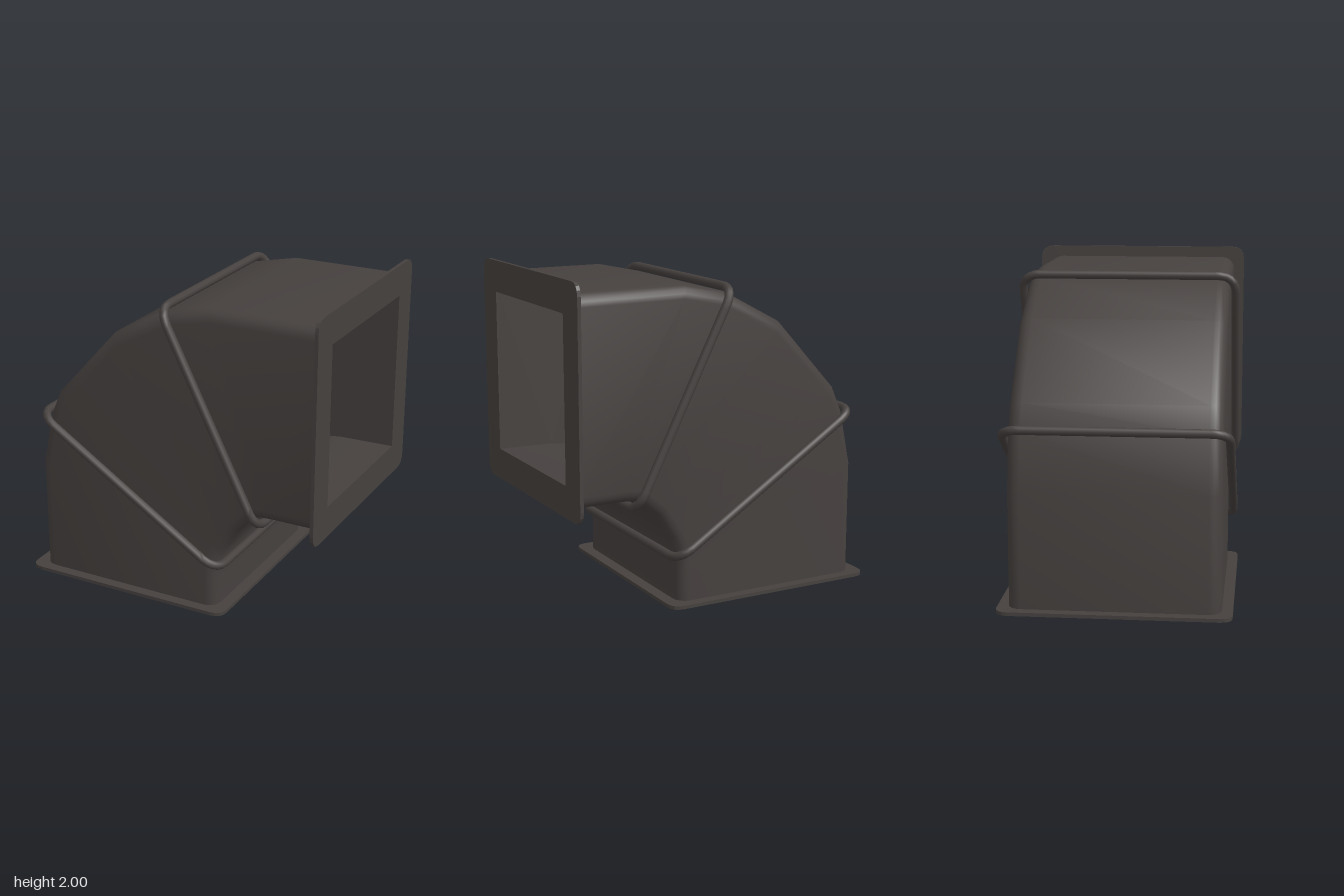
import * as THREE from 'three';
import { toCreasedNormals } from 'three/addons/utils/BufferGeometryUtils.js';

// Outer-bend and inner-bend points (x, y) of each cross-section along the elbow
const SECTIONS = [
  [[-0.93, 0.01], [0.32, 0.01]],
  [[-0.93, 0.74], [0.32, 0.2]],
  [[-0.86, 1.07], [0.325, 0.33]],
  [[-0.79, 1.23], [0.36, 0.41]],
  [[-0.39, 1.67], [0.45, 0.56]],
  [[-0.02, 1.87], [0.585, 0.675]],
  [[0.26, 1.93], [0.68, 0.68]],
  [[0.98, 1.93], [0.98, 0.68]],
];

// Rounded-rectangle loop spanning from point o to point i, with half depth h in z
function sectionLoop([o, i], h, r, inset) {
  const a = new THREE.Vector3(o[0], o[1], 0), b = new THREE.Vector3(i[0], i[1], 0);
  const u = b.clone().sub(a), w = u.length() / 2 - inset;
  u.normalize();
  const mid = a.add(b).multiplyScalar(0.5);
  const steps = r > 0 ? 4 : 0, pts = [];
  [[1, 1], [1, -1], [-1, -1], [-1, 1]].forEach(([su, sz], q) => {
    for (let k = 0; k <= steps; k++) {
      const t = (q + (steps ? k / steps : 0)) * Math.PI / 2;
      const p = mid.clone().addScaledVector(u, su * (w - r) + r * Math.sin(t));
      p.z = sz * (h - r) + r * Math.cos(t);
      pts.push(p);
    }
  });
  return pts;
}

// Skin joining successive loops; flip turns the faces inward
function loft(loops, flip) {
  const n = loops[0].length, index = [];
  for (let s = 0; s < loops.length - 1; s++) {
    for (let j = 0; j < n; j++) {
      const a = s * n + j, b = s * n + (j + 1) % n, c = a + n, d = b + n;
      index.push(...(flip ? [a, c, b, b, c, d] : [a, b, c, b, d, c]));
    }
  }
  const g = new THREE.BufferGeometry().setFromPoints(loops.flat());
  g.setIndex(index);
  return toCreasedNormals(g, 0.6);
}

// Square plate with chamfer-like corners and a square opening
function flangeGeometry() {
  const h = 0.695, r = 0.08, s = new THREE.Shape();
  s.moveTo(h - r, -h);
  s.quadraticCurveTo(h, -h, h, -h + r);
  s.lineTo(h, h - r);
  s.quadraticCurveTo(h, h, h - r, h);
  s.lineTo(-h + r, h);
  s.quadraticCurveTo(-h, h, -h, h - r);
  s.lineTo(-h, -h + r);
  s.quadraticCurveTo(-h, -h, -h + r, -h);
  s.closePath();
  const o = 0.5;
  s.holes.push(new THREE.Path([[-o, -o], [-o, o], [o, o], [o, -o]].map(p => new THREE.Vector2(...p))));
  return new THREE.ExtrudeGeometry(s, { depth: 0.022, bevelEnabled: false, curveSegments: 4 });
}

// Round bead following a tilted rounded rectangle
function beadGeometry(o, i) {
  const loop = sectionLoop([o, i], 0.665, 0.1, 0);
  const path = new THREE.CurvePath();
  loop.forEach((p, k) => path.add(new THREE.LineCurve3(p, loop[(k + 1) % loop.length])));
  return new THREE.TubeGeometry(path, 160, 0.027, 10, true);
}

export function createModel() {
  const group = new THREE.Group();
  const metal = new THREE.MeshStandardMaterial({ color: 0x46413f });
  metal.name = 'darkMetal';
  const add = (name, geometry) => {
    const mesh = new THREE.Mesh(geometry, metal);
    mesh.name = name;
    group.add(mesh);
    return mesh;
  };

  // Duct walls, outside and inside
  add('ductOuterWall', loft(SECTIONS.map(s => sectionLoop(s, 0.63, 0.08, 0)), false));
  add('ductInnerWall', loft(SECTIONS.map(s => sectionLoop(s, 0.5, 0, 0.125)), true));

  // Flanges at both openings
  add('bottomFlange', flangeGeometry().rotateX(-Math.PI / 2)).position.set(-0.3, 0, 0);
  add('sideFlange', flangeGeometry().rotateY(Math.PI / 2)).position.set(0.97, 1.305, 0);

  // Seam beads around the bend
  add('lowerBead', beadGeometry([-0.885, 1.085], [0.342, 0.3]));
  add('upperBead', beadGeometry([-0.022, 1.9], [0.612, 0.642]));

  return group;
}
